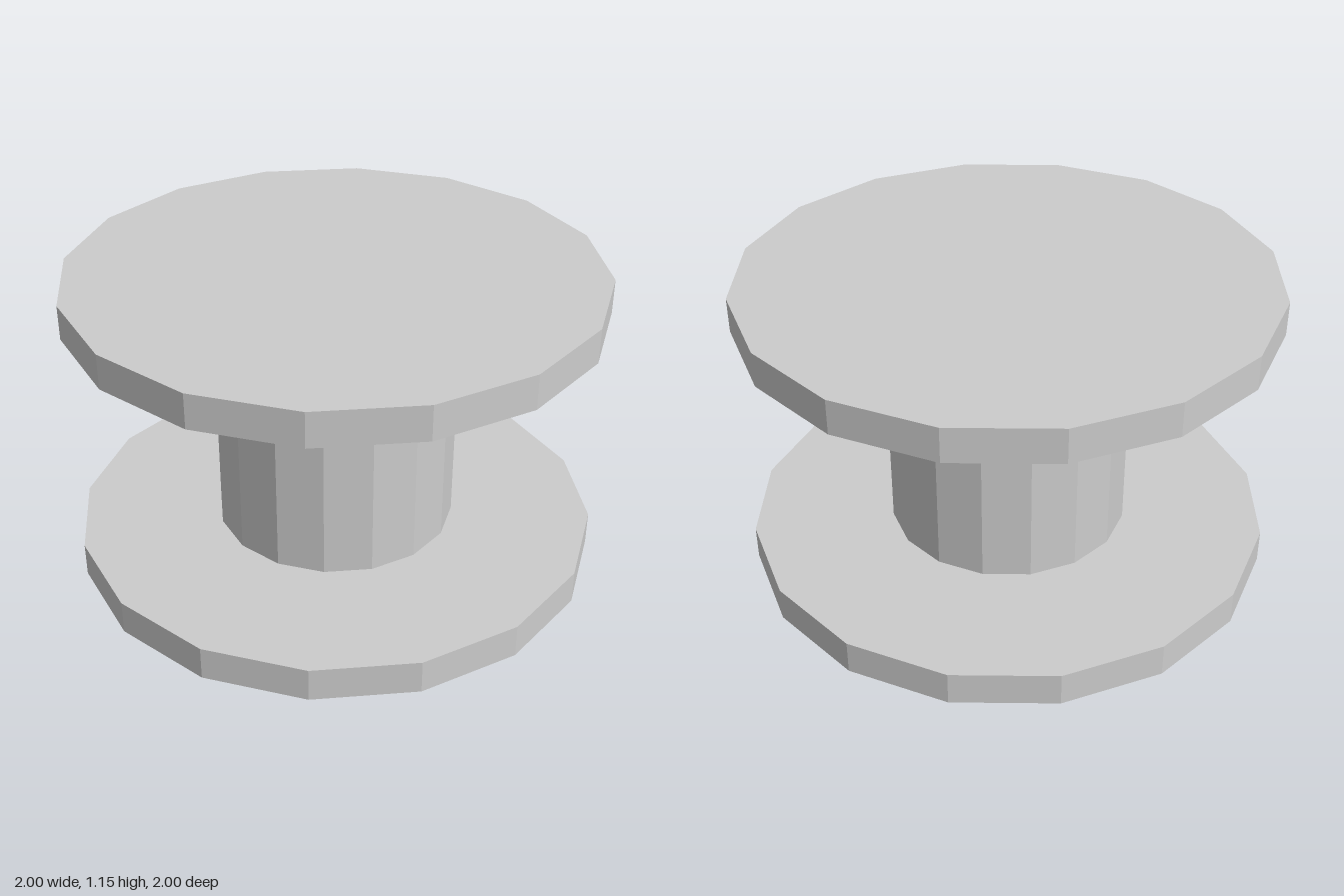
import * as THREE from 'three';

const SIDES = 16;
const HEIGHT = 1.15;
const FLANGE = 0.13; // flange thickness

export function createModel() {
  const group = new THREE.Group();
  group.name = 'spool';
  const grey = new THREE.MeshStandardMaterial({ color: 0xcccccc, flatShading: true });
  grey.name = 'light grey';

  // Adds one faceted drum standing on height y
  const addDrum = (name, radius, height, y, openEnded = false) => {
    const geometry = new THREE.CylinderGeometry(radius, radius, height, SIDES, 1, openEnded);
    const mesh = new THREE.Mesh(geometry, grey);
    mesh.name = name;
    mesh.position.y = y + height / 2;
    group.add(mesh);
  };

  // Two wide discs joined by a narrower core
  addDrum('bottomFlange', 1, FLANGE, 0);
  addDrum('core', 0.46, HEIGHT - 2 * FLANGE, FLANGE, true);
  addDrum('topFlange', 1, FLANGE, HEIGHT - FLANGE);

  return group;
}
